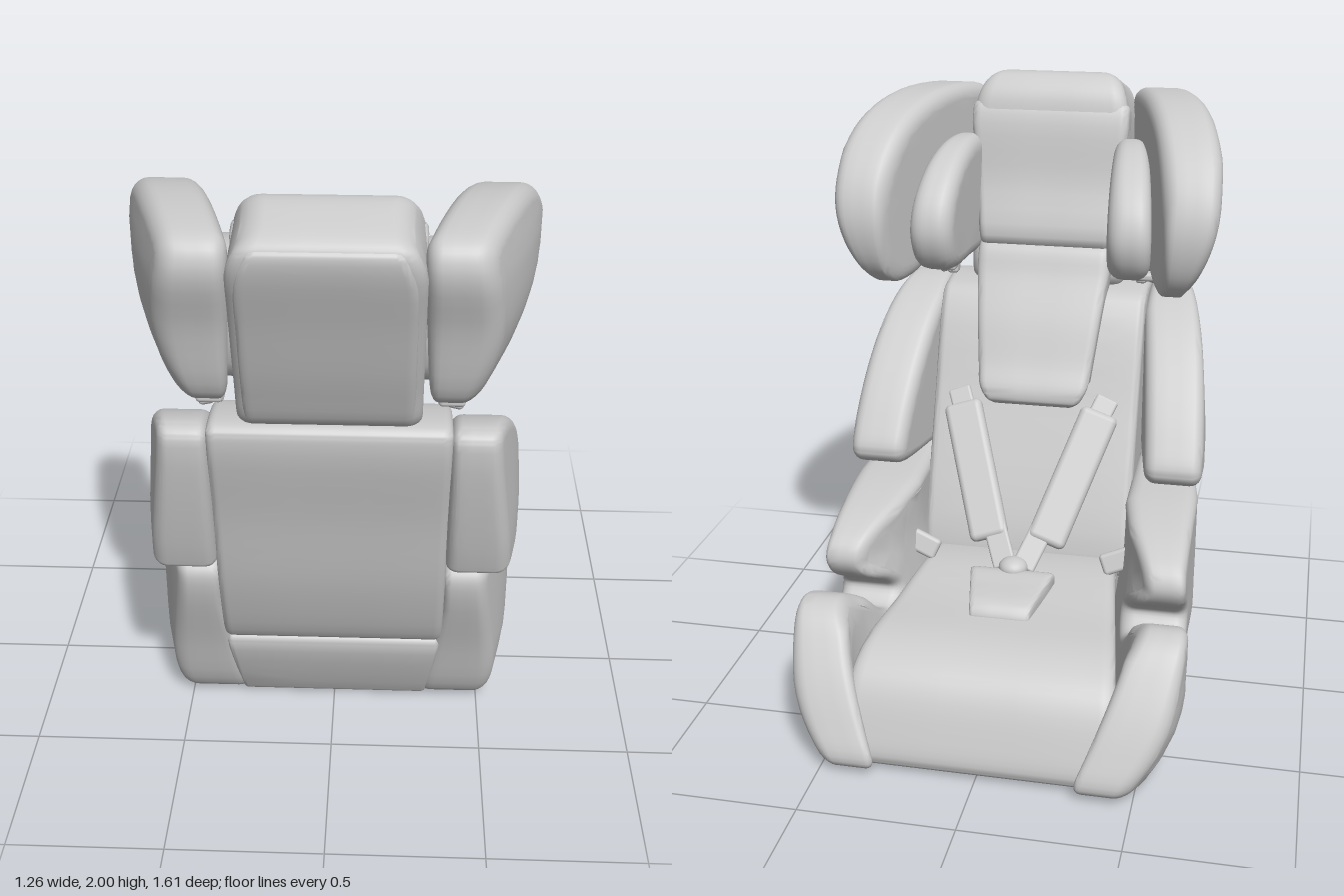
import * as THREE from 'three';
import { mergeVertices, toCreasedNormals } from 'three/addons/utils/BufferGeometryUtils.js';
import { RoundedBoxGeometry } from 'three/addons/geometries/RoundedBoxGeometry.js';

const material = new THREE.MeshStandardMaterial({ color: 0xcccccc, roughness: 0.8 });
const clamp = (v) => Math.min(1, Math.max(0, v));
const lerp = THREE.MathUtils.lerp;
const rise = (v) => Math.sin(clamp(v) * Math.PI / 2);

// Halves every triangle at its longest edge until no edge exceeds the limit, so flat sides can curve.
function refined(geo, limit) {
  const p = geo.attributes.position;
  const stack = [], done = [];
  const length = (a, b) => Math.hypot((a.x - b.x) * 0.25, a.y - b.y, a.z - b.z);
  for (let i = 0; i < p.count; i += 3) {
    stack.push([0, 1, 2].map((k) => new THREE.Vector3().fromBufferAttribute(p, i + k)));
  }
  while (stack.length) {
    let [a, b, c] = stack.pop();
    const ab = length(a, b), bc = length(b, c), ca = length(c, a);
    if (bc >= ab && bc >= ca) [a, b, c] = [b, c, a];
    else if (ca >= ab && ca >= bc) [a, b, c] = [c, a, b];
    if (length(a, b) > limit) {
      const m = a.clone().add(b).multiplyScalar(0.5);
      stack.push([a, m, c], [m, b, c]);
    } else done.push(a, b, c);
  }
  return new THREE.BufferGeometry().setFromPoints(done);
}

// Padded solid: side profile of [forward, height] points, stretched in x from inner() to outer().
// Forward is -z. round = share of the width that is rounded, inset = how far the edge rounds in.
function cushion(profile, inner, outer, round = 0.2, inset = 0.04) {
  const curve = new THREE.CatmullRomCurve3(
    profile.map(([f, y]) => new THREE.Vector3(f, y, 0)), true, 'centripetal');
  const outline = curve.getPoints(profile.length * 5).slice(0, -1)
    .map((p) => new THREE.Vector2(p.x, p.y));
  const solid = new THREE.ExtrudeGeometry(new THREE.Shape(outline), {
    depth: 1 - 2 * round, steps: 3, bevelThickness: round,
    bevelSize: inset, bevelOffset: -inset, bevelSegments: 5,
  });
  solid.translate(0, 0, round);
  solid.rotateY(Math.PI / 2);
  const geo = refined(solid, 0.1);
  const p = geo.attributes.position;
  for (let i = 0; i < p.count; i++) {
    const y = Math.max(0, p.getY(i));
    const f = -p.getZ(i);
    p.setXYZ(i, lerp(inner(f, y), outer(f, y), p.getX(i)), y, -f);
  }
  return toCreasedNormals(mergeVertices(geo, 1e-4), 0.85);
}

// Copy reflected in x, with the corner order turned round.
function reflected(geo) {
  const out = geo.index ? geo.toNonIndexed() : geo.clone();
  const v = new THREE.Vector3(), w = new THREE.Vector3();
  for (const name of ['position', 'normal']) {
    const a = out.attributes[name];
    for (let i = 0; i < a.count; i++) a.setX(i, -a.getX(i));
    for (let i = 0; i < a.count; i += 3) {
      v.fromBufferAttribute(a, i + 1);
      w.fromBufferAttribute(a, i + 2);
      a.setXYZ(i + 1, w.x, w.y, w.z);
      a.setXYZ(i + 2, v.x, v.y, v.z);
    }
  }
  return out;
}

// Flat padded strip between two points, its flat side facing forward and up.
function strip(a, b, width, thick) {
  const from = new THREE.Vector3(...a), to = new THREE.Vector3(...b);
  const y = to.clone().sub(from);
  const geo = new RoundedBoxGeometry(width, y.length(), thick, 3, thick * 0.45);
  y.normalize();
  const x = new THREE.Vector3().crossVectors(y, new THREE.Vector3(0, 0.35, -1)).normalize();
  const z = new THREE.Vector3().crossVectors(x, y);
  geo.applyMatrix4(new THREE.Matrix4().makeBasis(x, y, z));
  const mid = from.add(to).multiplyScalar(0.5);
  return geo.translate(mid.x, mid.y, mid.z);
}

export function createModel() {
  const group = new THREE.Group();
  const add = (name, geo) => {
    const mesh = new THREE.Mesh(geo, material);
    mesh.name = name;
    group.add(mesh);
  };
  const pair = (name, geo) => {
    add(name + 'Left', geo);
    add(name + 'Right', reflected(geo));
  };
  const centred = (name, profile, half, round, inset) =>
    add(name, cushion(profile, (f, y) => -half(f, y), half, round, inset));

  // Seat cushion and the lower back panel
  centred('seatCushion', [
    [-0.2, 0.01], [-0.18, 0.36], [-0.03, 0.41], [0.3, 0.385], [0.55, 0.36], [0.67, 0.29],
    [0.74, 0.14], [0.76, 0.04], [0.73, 0.01], [0.3, 0.01],
  ], (f) => 0.33 + 0.11 * clamp(f / 0.75), 0.06, 0.03);
  centred('lowerBackPanel', [
    [-0.22, 0.01], [-0.245, 0.04], [-0.345, 0.3], [-0.335, 0.33], [-0.1, 0.33], [-0.08, 0.01],
  ], (f, y) => 0.32 + 0.04 * clamp(y / 0.3), 0.03, 0.02);

  // Backrest
  centred('backrest', [
    [-0.34, 0.335], [-0.365, 0.355], [-0.46, 0.6], [-0.535, 0.92], [-0.61, 1.24], [-0.6, 1.28],
    [-0.44, 1.28], [-0.37, 1.25], [-0.22, 0.9], [-0.05, 0.42], [-0.06, 0.34],
  ], () => 0.365, 0.04, 0.025);

  // Base sides, each with armrest, belt notch and front lobe
  const tip = (f) => clamp((f - 0.55) / 0.25) ** 2;
  pair('baseSide', cushion([
    [-0.2, 0.01], [-0.25, 0.05], [-0.34, 0.31], [-0.435, 0.6], [-0.43, 0.66], [-0.37, 0.7],
    [-0.2, 0.695], [0.05, 0.67], [0.24, 0.62], [0.33, 0.565], [0.35, 0.51], [0.32, 0.45],
    [0.23, 0.39], [0.2, 0.35], [0.25, 0.305], [0.31, 0.33], [0.4, 0.42], [0.5, 0.47],
    [0.58, 0.45], [0.68, 0.33], [0.77, 0.16], [0.805, 0.05], [0.77, 0.015], [0.3, 0.005],
  ],
  (f, y) => 0.29 + 0.07 * clamp(y / 0.5) + 0.1 * clamp(f / 0.45) - 0.09 * tip(f)
    + 0.04 * clamp((f - 0.15) / 0.2) * clamp((y - 0.4) / 0.1),
  (f, y) => 0.49 + 0.11 * rise((f + 0.44) / 0.42) + 0.03 * clamp((f - 0.3) / 0.2)
    - 0.1 * (1 - clamp(y / 0.28)) ** 2 * clamp((f + 0.35) / 0.25) - 0.08 * tip(f), 0.2, 0.035));

  // Torso side wings, flaring outward to the front
  pair('torsoWing', cushion([
    [-0.49, 0.715], [-0.51, 0.75], [-0.61, 1.22], [-0.6, 1.265], [-0.56, 1.28], [-0.44, 1.255],
    [-0.3, 1.17], [-0.15, 1.02], [-0.04, 0.87], [0.01, 0.77], [-0.01, 0.73], [-0.07, 0.71],
  ],
  (f) => 0.36 + 0.06 * clamp((f + 0.4) / 0.4),
  (f, y) => 0.535 + 0.075 * rise((f + 0.6) / 0.5) - 0.03 * clamp((y - 0.85) / 0.4), 0.2, 0.04));

  // Headrest core, rear panel and front pads
  const crown = (y) => 0.1 * clamp((y - 1.82) / 0.18) ** 2;
  centred('headrest', [
    [-0.57, 1.285], [-0.63, 1.42], [-0.72, 1.67], [-0.8, 1.9], [-0.79, 1.94], [-0.7, 1.98],
    [-0.57, 2], [-0.51, 1.95], [-0.48, 1.85], [-0.46, 1.55], [-0.45, 1.285],
  ], (f, y) => 0.273 - crown(y) * (0.3 + 0.7 * clamp((-f - 0.5) / 0.25)), 0.1, 0.035);
  centred('headrestRearPanel', [
    [-0.57, 1.285], [-0.64, 1.42], [-0.73, 1.67], [-0.805, 1.89], [-0.8, 1.925], [-0.75, 1.93],
    [-0.64, 1.67], [-0.52, 1.29],
  ], (f, y) => 0.25 - 0.045 * clamp((y - 1.76) / 0.17) ** 2, 0.06, 0.015);
  centred('headrestFrontPad', [
    [-0.55, 1.42], [-0.58, 1.88], [-0.51, 1.91], [-0.48, 1.87], [-0.44, 1.65], [-0.39, 1.43],
  ], (f, y) => 0.23 + 0.045 * clamp((y - 1.43) / 0.4), 0.06, 0.025);
  centred('neckPad', [
    [-0.53, 1.38], [-0.46, 1.44], [-0.39, 1.43], [-0.34, 1.33], [-0.265, 1.19], [-0.205, 1.05],
    [-0.16, 0.96], [-0.165, 0.92], [-0.25, 0.91], [-0.4, 1.2],
  ], (f, y) => 0.19 + 0.045 * clamp((y - 0.95) / 0.4) - 0.04 * clamp((1 - y) / 0.09) ** 2, 0.08, 0.025);

  // Head side wings, flaring outward to the front
  pair('headWing', cushion([
    [-0.61, 1.39], [-0.65, 1.43], [-0.71, 1.66], [-0.765, 1.85], [-0.74, 1.92], [-0.64, 1.95],
    [-0.36, 1.95], [-0.15, 1.88], [-0.01, 1.73], [0.035, 1.58], [0, 1.43], [-0.08, 1.365],
    [-0.19, 1.36], [-0.37, 1.4], [-0.5, 1.385],
  ],
  (f) => 0.265 + 0.19 * clamp((f + 0.7) / 0.7),
  (f, y) => 0.455 + 0.18 * rise((f + 0.76) / 0.8)
    - 0.1 * clamp((1.7 - y) / 0.32) ** 2 - 0.025 * clamp((y - 1.8) / 0.15), 0.24, 0.05));

  // Inner head cushions
  pair('innerHeadPad', cushion([
    [-0.5, 1.41], [-0.54, 1.77], [-0.42, 1.8], [-0.24, 1.75], [-0.11, 1.63], [-0.08, 1.51],
    [-0.14, 1.4], [-0.34, 1.385],
  ],
  (f) => 0.23 + 0.03 * clamp((f + 0.5) / 0.4),
  (f) => 0.34 + 0.07 * clamp((f + 0.5) / 0.4), 0.35, 0.05));

  // Brackets under the head wings
  pair('bracketStem', new RoundedBoxGeometry(0.04, 0.1, 0.05, 2, 0.012).translate(0.34, 1.35, 0.45));
  pair('bracketFoot', new RoundedBoxGeometry(0.08, 0.03, 0.13, 2, 0.012).translate(0.36, 1.335, 0.45));
  pair('bracketArm', strip([0.37, 1.3, 0.48], [0.39, 1.4, 0.4], 0.05, 0.03));

  // Harness: shoulder webbing with sleeves, hip belts, buckle and crotch pad
  pair('shoulderWebbing', strip([0.265, 0.95, 0.2], [0.03, 0.44, -0.14], 0.08, 0.02));
  pair('shoulderSleeve', strip([0.245, 0.91, 0.165], [0.095, 0.51, -0.08], 0.135, 0.05));
  pair('hipBelt', strip([0.39, 0.47, -0.04], [0.29, 0.43, -0.05], 0.075, 0.03));
  add('buckle', new THREE.SphereGeometry(0.05, 24, 16).scale(1, 0.7, 1).translate(0, 0.445, -0.145));
  centred('crotchPad', [
    [0.15, 0.38], [0.155, 0.44], [0.25, 0.435], [0.37, 0.41], [0.39, 0.37],
  ], (f) => 0.145 - 0.045 * clamp((f - 0.16) / 0.22), 0.08, 0.01);

  return group;
}
